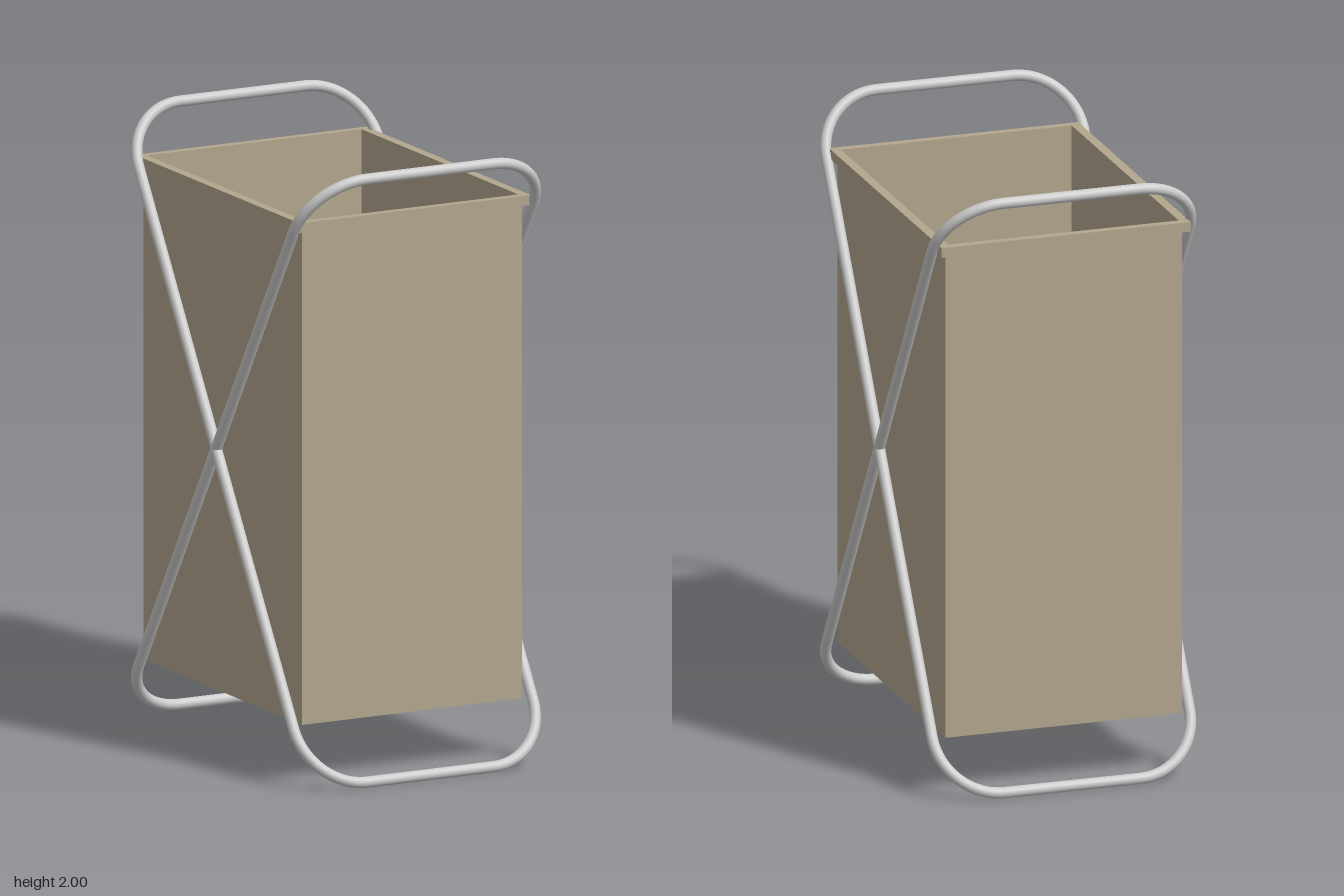
import * as THREE from 'three';

const canvas = new THREE.MeshStandardMaterial({ color: 0xb3a68e });
const metal = new THREE.MeshStandardMaterial({ color: 0xcccccc });

function rectPath(target, hx, hz) {
  target.moveTo(-hx, -hz);
  target.lineTo(hx, -hz);
  target.lineTo(hx, hz);
  target.lineTo(-hx, hz);
  target.closePath();
  return target;
}

// Upright rectangular ring from y0 to y1
function ring(name, outX, outZ, inX, inZ, y0, y1) {
  const shape = rectPath(new THREE.Shape(), outX, outZ);
  shape.holes.push(rectPath(new THREE.Path(), inX, inZ));
  const geo = new THREE.ExtrudeGeometry(shape, { depth: y1 - y0, bevelEnabled: false });
  geo.rotateX(-Math.PI / 2);
  geo.translate(0, y0, 0);
  const mesh = new THREE.Mesh(geo, canvas);
  mesh.name = name;
  return mesh;
}

// Rounded rectangular loop of round tube, lying in the XY plane
function tubeLoop(name, hx, hy, corner, r) {
  const loop = new THREE.Group();
  loop.name = name;
  const cx = hx - corner, cy = hy - corner;
  const add = (part, geo) => {
    const mesh = new THREE.Mesh(geo, metal);
    mesh.name = part;
    loop.add(mesh);
    return mesh;
  };
  for (const s of [1, -1]) {
    add('sideTube', new THREE.CylinderGeometry(r, r, 2 * cy, 20, 1, true)).position.x = s * hx;
    const cross = add('crossTube', new THREE.CylinderGeometry(r, r, 2 * cx, 20, 1, true));
    cross.rotation.z = Math.PI / 2;
    cross.position.y = s * hy;
  }
  // Quarter bends
  [[1, 1], [-1, 1], [-1, -1], [1, -1]].forEach(([sx, sy], i) => {
    const bend = add('cornerBend', new THREE.TorusGeometry(corner, r, 20, 20, Math.PI / 2));
    bend.position.set(sx * cx, sy * cy, 0);
    bend.rotation.z = i * Math.PI / 2;
  });
  return loop;
}

export function createModel() {
  const model = new THREE.Group();
  model.name = 'foldingHamper';

  // Open-topped bag with a projecting rim
  const bag = new THREE.Group();
  bag.name = 'bag';
  bag.position.set(0.003, 0, -0.027);
  bag.add(ring('bagWalls', 0.397, 0.527, 0.387, 0.522, 0.197, 1.806));
  bag.add(ring('bagRim', 0.418, 0.55, 0.387, 0.522, 1.806, 1.838));
  const floor = new THREE.Mesh(new THREE.BoxGeometry(0.79, 0.01, 1.05), canvas);
  floor.name = 'bagFloor';
  floor.position.y = 0.2025;
  bag.add(floor);
  model.add(bag);

  // Two tube loops crossing at mid height
  const r = 0.018, topY = 1 - r, topZ = 0.625;
  for (const s of [1, -1]) {
    const loop = tubeLoop(s > 0 ? 'frameLeaningForward' : 'frameLeaningBack',
      0.432, Math.hypot(topY, topZ), 0.205, r);
    loop.position.y = 1;
    loop.rotation.x = s * Math.atan2(topZ, topY);
    model.add(loop);
  }
  return model;
}
